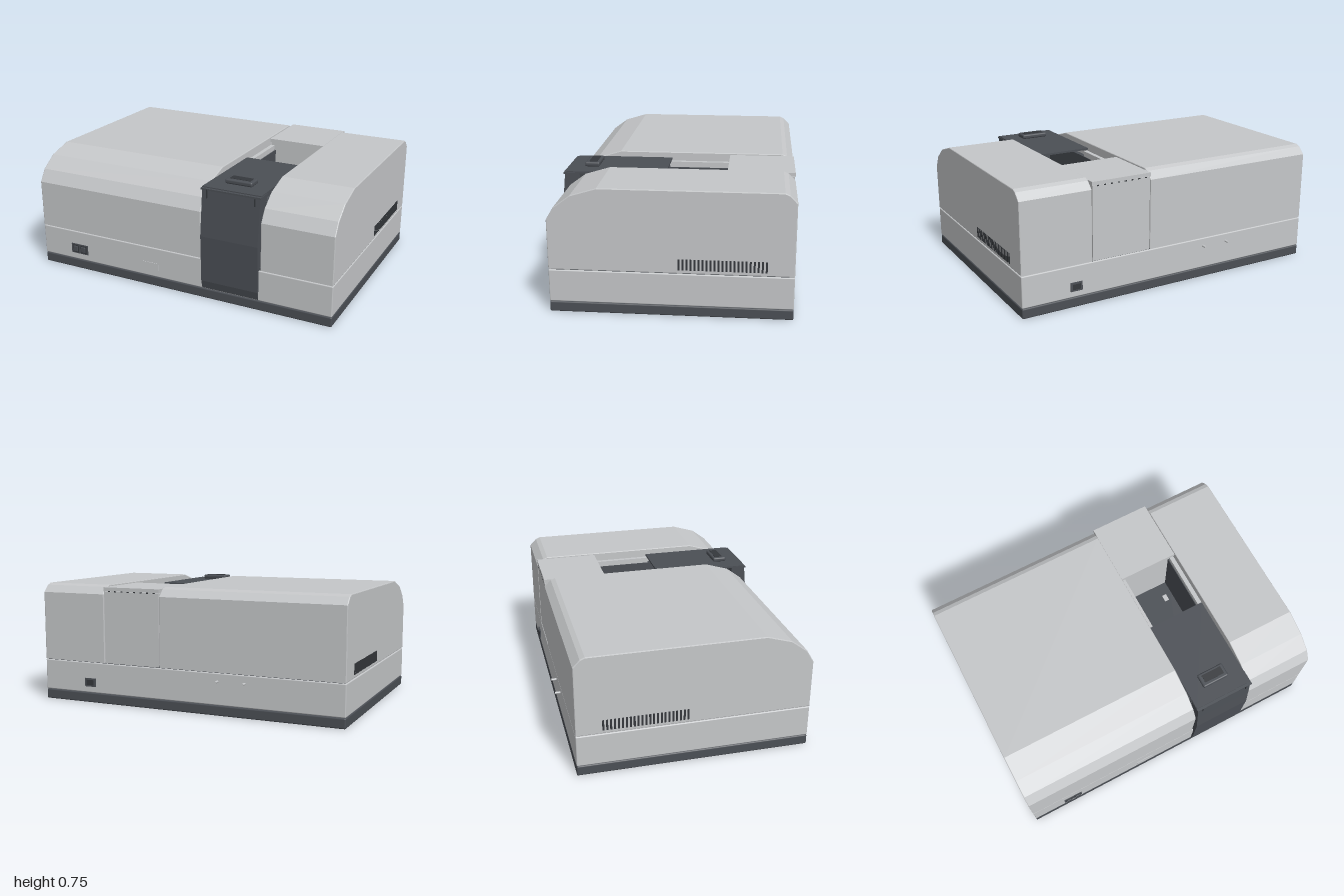
import * as THREE from 'three';
import { RoundedBoxGeometry } from 'three/addons/geometries/RoundedBoxGeometry.js';

const mat = (name, color) => Object.assign(new THREE.MeshStandardMaterial({ color }), { name });

export function createModel() {
  const model = new THREE.Group();
  model.name = 'benchInstrument';
  const casing = mat('casing grey', 0xc5c7c9);
  const dark = mat('dark grey', 0x4b4f55);
  const black = mat('vent charcoal', 0x35383c);

  const add = (name, geometry, material) => {
    const m = new THREE.Mesh(geometry, material);
    m.name = name;
    model.add(m);
    return m;
  };
  // Box given by its minimum and maximum on each axis, optionally rounded
  const box = (name, material, x0, x1, y0, y1, z0, z1, r = 0) => {
    const s = [x1 - x0, y1 - y0, z1 - z0];
    const g = r ? new RoundedBoxGeometry(...s, 2, r) : new THREE.BoxGeometry(...s);
    g.translate((x0 + x1) / 2, (y0 + y1) / 2, (z0 + z1) / 2);
    return add(name, g, material);
  };
  // Side profile of [z, y] points, swept across x
  const sweep = (name, material, points, x0, x1, bevel) => {
    const shape = new THREE.Shape(points.map(([z, y]) => new THREE.Vector2(z, y)));
    const g = new THREE.ExtrudeGeometry(shape, {
      depth: x1 - x0 - 2 * bevel, bevelEnabled: bevel > 0, bevelSize: bevel,
      bevelThickness: bevel, bevelOffset: -bevel, bevelSegments: 2,
    });
    g.rotateY(-Math.PI / 2).translate(x1 - bevel, 0, 0);
    return add(name, g, material);
  };

  // Base tray, lower casing and the recessed seam above it
  box('baseTray', dark, -1, 1, 0, 0.062, -0.69, 0.70, 0.008);
  box('lowerCasing', casing, -1, 1, 0.064, 0.256, -0.69, 0.70, 0.006);
  box('seamCore', dark, -0.99, 0.99, 0.2, 0.272, -0.68, 0.688);

  // Two upper covers with a faceted front
  const cover = [[0.70, 0.26], [0.70, 0.555], [0.655, 0.63], [0.56, 0.70], [0.41, 0.745],
    [-0.62, 0.745], [-0.648, 0.733], [-0.69, 0.69], [-0.69, 0.26]];
  sweep('rightCover', casing, cover, -1, 0.167, 0.005);
  sweep('leftCover', casing, cover, 0.555, 1, 0.005);

  // Rear bridge between the covers
  box('rearBridge', casing, 0.171, 0.551, 0.26, 0.71, -0.687, -0.31);
  box('rearBridgeTop', casing, 0.168, 0.554, 0.712, 0.735, -0.69, -0.29);
  for (let i = 0; i < 8; i++) {
    const x = 0.195 + i * 0.045;
    box('hingeNotch', black, x, x + 0.012, 0.706, 0.713, -0.691, -0.684);
  }

  // Sample bay: floor, dark side liners and pale rails
  box('bayFloor', dark, 0.17, 0.552, 0.268, 0.29, -0.31, 0.62);
  for (const s of [-1, 1]) {
    const c = 0.361;
    const span = (a, b) => (s > 0 ? [c + a, c + b] : [c - b, c - a]);
    box('bayLiner', dark, ...span(0.16, 0.19), 0.28, 0.655, -0.31, 0.62);
    box('bayRail', casing, ...span(0.165, 0.192), 0.655, 0.69, -0.30, 0.09);
    box('floorPad', casing, ...span(0.09, 0.12), 0.29, 0.298, -0.225, -0.18);
    box('lidBracket', black, ...span(0.15, 0.156), 0.645, 0.70, 0.68, 0.697);
  }

  // Curved front door with lid and handle
  sweep('frontDoor', dark, [[0.69, 0.068], [0.702, 0.07], [0.714, 0.12], [0.72, 0.41],
    [0.703, 0.56], [0.69, 0.695], [0.60, 0.695], [0.60, 0.28], [0.69, 0.26]], 0.175, 0.545, 0);
  box('lid', dark, 0.17, 0.548, 0.698, 0.71, 0.08, 0.68);
  box('lidFrontLip', dark, 0.168, 0.552, 0.694, 0.704, 0.60, 0.697);
  box('handle', dark, 0.27, 0.445, 0.712, 0.741, 0.498, 0.588, 0.01);
  box('handleInset', black, 0.292, 0.424, 0.738, 0.743, 0.515, 0.565);
  box('handleFoot', dark, 0.29, 0.425, 0.705, 0.716, 0.51, 0.575);

  // Ventilation slots on both sides
  for (const s of [-1, 1]) {
    for (let i = 0; i < 23; i++) {
      const z = -0.042 - i * 0.0223;
      box('ventSlot', black, s - 0.003, s + 0.003, 0.281, 0.346, z - 0.0055, z + 0.0055);
    }
  }

  // Front switch panel and name plate
  box('switchPanel', dark, -0.785, -0.66, 0.106, 0.17, 0.695, 0.704);
  for (const x of [-0.752, -0.692]) {
    box('switchFrame', black, x - 0.022, x + 0.022, 0.113, 0.163, 0.70, 0.706);
    box('switchRocker', dark, x - 0.016, x + 0.016, 0.12, 0.157, 0.70, 0.713, 0.003);
  }
  box('blankPlate', casing, -0.245, -0.13, 0.11, 0.156, 0.695, 0.703);

  // Rear socket and connector pins
  box('powerSocket', dark, 0.625, 0.70, 0.103, 0.156, -0.698, -0.685);
  box('powerInlet', black, 0.637, 0.688, 0.113, 0.146, -0.70, -0.69);
  for (const x of [-0.393, -0.22]) {
    const pin = new THREE.CylinderGeometry(0.007, 0.007, 0.05, 16);
    pin.rotateX(Math.PI / 2).translate(x, 0.207, -0.698);
    add('connectorPin', pin, casing);
  }
  return model;
}
